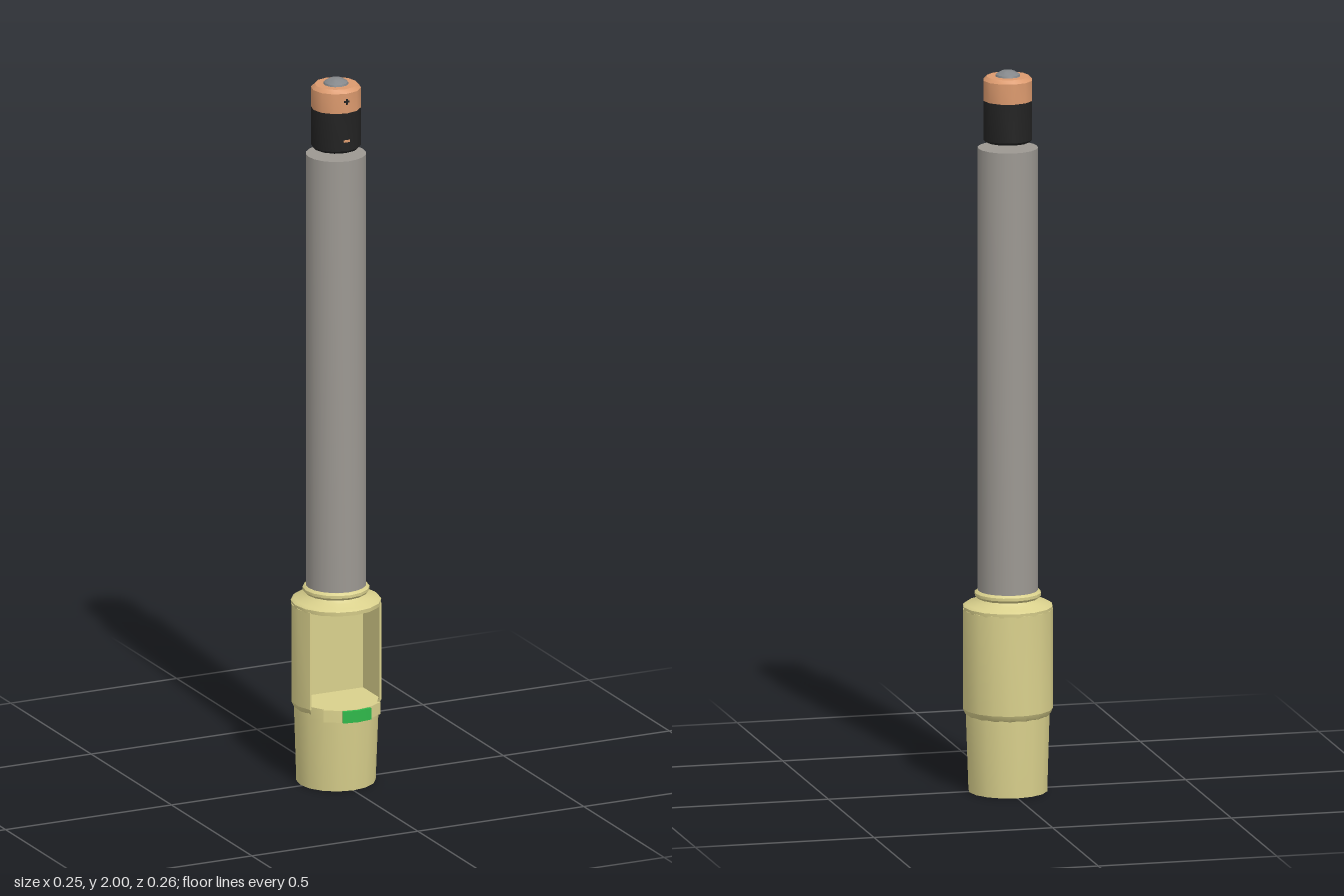
import * as THREE from 'three';
import { toCreasedNormals } from 'three/addons/utils/BufferGeometryUtils.js';

const RAD = Math.PI / 180;

const paint = (color) => new THREE.MeshStandardMaterial({ color, side: THREE.DoubleSide });
const cream = paint(0xd9d08c);
const steel = paint(0x9c9892);
const copper = paint(0xdc9a6e);
const black = paint(0x222222);
const metal = paint(0x84878a);
const green = paint(0x2fb84a);

function add(group, name, geometry, material) {
  const mesh = new THREE.Mesh(toCreasedNormals(geometry, 0.6), material);
  mesh.name = name;
  group.add(mesh);
  return mesh;
}

// Turned part from [radius, height] pairs, listed bottom to top
function turned(profile, sides, start = 0, sweep = 360) {
  const points = profile.map(([r, y]) => new THREE.Vector2(r, y));
  return new THREE.LatheGeometry(points, sides, start * RAD, sweep * RAD);
}

// Points on an arc in plan, angle measured from the front
function arc(radius, from, to, steps) {
  return Array.from({ length: steps + 1 }, (_, i) => {
    const a = (from + ((to - from) * i) / steps) * RAD;
    return new THREE.Vector2(radius * Math.sin(a), -radius * Math.cos(a));
  });
}

// Plan outline raised from y0 to y1
function raised(points, y0, y1) {
  const geometry = new THREE.ExtrudeGeometry(new THREE.Shape(points), { depth: y1 - y0, bevelEnabled: false });
  return geometry.rotateX(-Math.PI / 2).translate(0, y0, 0);
}

export function createModel() {
  const model = new THREE.Group();
  model.name = 'handle';
  const body = new THREE.Group();
  body.name = 'body';
  body.position.z = -0.009;
  model.add(body);

  // Tapered cup, its front leaning forward towards the top
  const cup = turned([[0, 0], [0.108, 0], [0.114, 0.2], [0.114, 0.236], [0, 0.236]], 16);
  const p = cup.attributes.position;
  for (let i = 0; i < p.count; i++) {
    if (p.getZ(i) > 0) p.setZ(i, p.getZ(i) * (1 + 0.45 * p.getY(i)));
  }
  add(body, 'cup', cup, cream);

  // Flange under the window with a green button
  add(body, 'flange', raised([...arc(0.131, -41, 41, 4), ...arc(0.08, 41, -41, 4)], 0.203, 0.237), cream);
  add(body, 'button', raised([...arc(0.139, -18, 18, 2), ...arc(0.12, 18, -18, 2)], 0.203, 0.236), green);

  // Sleeve with a square recess open to the front
  const recess = [[-0.102, -0.059], [-0.102, 0.042], [0.102, 0.042], [0.102, -0.059]];
  const outline = [...arc(0.123, 61, 299, 11), ...recess.map(([x, y]) => new THREE.Vector2(x, y))];
  add(body, 'sleeve', raised(outline, 0.23, 0.506), cream);
  add(body, 'sleeveSkirt', turned([[0.108, 0.21], [0.116, 0.215], [0.123, 0.23]], 11, 61, 238), cream);

  // Shoulder above the window and the collar around the shaft
  add(body, 'shoulder', turned([
    [0, 0.503], [0.122, 0.503], [0.123, 0.514], [0.115, 0.52], [0.092, 0.528],
    [0.084, 0.536], [0.091, 0.543], [0.091, 0.551], [0.084, 0.557], [0, 0.557],
  ], 16), cream);

  add(body, 'shaft', turned([[0, 0.545], [0.082, 0.545], [0.082, 1.785], [0, 1.785]], 20), steel);

  // Battery cell floating just above the shaft
  const battery = new THREE.Group();
  battery.name = 'battery';
  body.add(battery);
  add(battery, 'batteryBase', turned([[0, 1.802], [0.061, 1.802], [0.068, 1.809], [0.068, 1.917]], 12), black);
  add(battery, 'batteryTop', turned([[0.068, 1.917], [0.068, 1.973], [0.058, 1.983], [0, 1.983]], 12), copper);
  add(battery, 'batteryTip', turned([[0.035, 1.982], [0.033, 1.988], [0.018, 1.997], [0, 2]], 12), metal);

  // Polarity marks
  const mark = (name, w, h, y, material) =>
    add(battery, name, new THREE.BoxGeometry(w, h, 0.004).translate(0, y, 0.067), material);
  mark('plusBar', 0.016, 0.005, 1.95, black);
  mark('plusPost', 0.005, 0.016, 1.95, black);
  mark('minusBar', 0.018, 0.006, 1.838, copper);

  return model;
}
